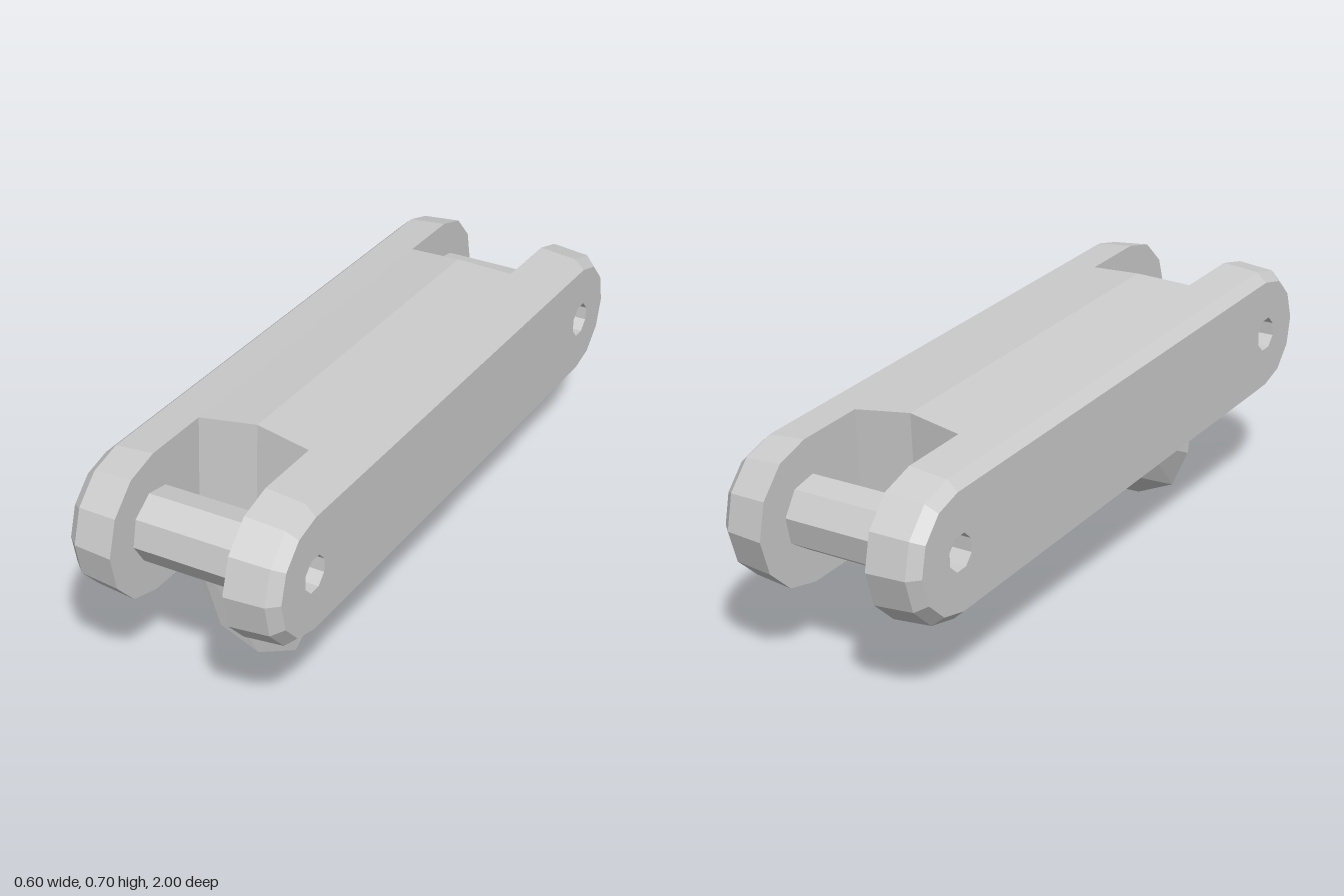
import * as THREE from 'three';
import { ConvexGeometry } from 'three/addons/geometries/ConvexGeometry.js';

const AXLE = 0.8;      // distance of each pin from the middle
const HOLE = 0.05;     // bore radius
const INNER = 0.16;    // inner face of the side plates
const OUTER = 0.3;     // outer face of the side plates

const material = new THREE.MeshStandardMaterial({ color: 0xcccccc, flatShading: true });
const boreMaterial = new THREE.MeshStandardMaterial({ color: 0xcccccc, flatShading: true, side: THREE.BackSide });

function mesh(name, geometry, mat = material) {
  const m = new THREE.Mesh(geometry, mat);
  m.name = name;
  return m;
}

// Counter-clockwise outline with a faceted half circle at each end
function outline(r) {
  const points = [];
  for (const end of [1, -1]) {
    for (let i = 0; i <= 6; i++) {
      const a = -Math.PI / 2 + (i * Math.PI) / 6;
      points.push(new THREE.Vector2(end * (AXLE + r * Math.cos(a)), end * r * Math.sin(a)));
    }
  }
  return points;
}

// Flat plate face with both bores cut out
function plateFace(r) {
  const shape = new THREE.Shape(outline(r));
  for (const end of [1, -1]) {
    const hole = [];
    for (let i = 0; i < 8; i++) {
      const a = (i * Math.PI) / 4 + Math.PI / 8;
      hole.push(new THREE.Vector2(end * AXLE + HOLE * Math.cos(a), HOLE * Math.sin(a)));
    }
    shape.holes.push(new THREE.Path(hole));
  }
  return new THREE.ShapeGeometry(shape);
}

// Rim lofted through sections of [depth, radius]
function plateRim(sections) {
  const rings = sections.map(([w, r]) => outline(r).map((p) => [p.x, p.y, w]));
  const n = rings[0].length;
  const pos = [];
  for (let s = 0; s < rings.length - 1; s++) {
    for (let i = 0; i < n; i++) {
      const j = (i + 1) % n;
      const a = rings[s][i], b = rings[s][j], c = rings[s + 1][j], d = rings[s + 1][i];
      pos.push(...a, ...b, ...c, ...a, ...c, ...d);
    }
  }
  const g = new THREE.BufferGeometry();
  g.setAttribute('position', new THREE.Float32BufferAttribute(pos, 3));
  g.computeVertexNormals();
  return g;
}

// Side plate with a chamfered outer edge, facing +z before it is turned
function sidePlate(name) {
  const plate = new THREE.Group();
  plate.name = name;
  plate.add(mesh('plateRim', plateRim([[INNER, 0.2], [0.27, 0.19], [OUTER, 0.162]])));
  plate.add(mesh('plateOuterFace', plateFace(0.162).translate(0, 0, OUTER)));
  plate.add(mesh('plateInnerFace', plateFace(0.2).rotateY(Math.PI).translate(0, 0, INNER)));
  return plate;
}

// Open eight-sided tube lying across the link
function crossTube(radius, length, turn) {
  return new THREE.CylinderGeometry(radius, radius, length, 8, 1, true)
    .rotateZ(Math.PI / 2)
    .rotateX(turn);
}

export function createModel() {
  const model = new THREE.Group();
  model.name = 'chainLink';

  // Tilted link: two plates, a ridged body and two hollow pins
  const link = new THREE.Group();
  link.name = 'link';
  link.position.y = 0.453;
  link.rotation.x = -0.058;
  model.add(link);

  for (const side of [1, -1]) {
    const plate = sidePlate(side > 0 ? 'leftPlate' : 'rightPlate');
    plate.rotation.y = (side * Math.PI) / 2;
    link.add(plate);
  }

  // Middle body, raised along the centre line and dished at the ends
  const bodyGeometry = new THREE.BoxGeometry(2 * INNER, 0.4, 1.18, 2, 1, 1);
  const p = bodyGeometry.attributes.position;
  for (let i = 0; i < p.count; i++) {
    if (Math.abs(p.getX(i)) < 0.01) p.setXYZ(i, 0, p.getY(i) * 1.075, p.getZ(i) * 0.965);
  }
  bodyGeometry.computeVertexNormals();
  link.add(mesh('body', bodyGeometry));

  for (const end of [1, -1]) {
    const label = end > 0 ? 'front' : 'back';
    const pin = mesh(label + 'Pin', crossTube(0.099, 2 * INNER, THREE.MathUtils.degToRad(13)));
    const bore = mesh(label + 'Bore', crossTube(HOLE, 2 * OUTER, Math.PI / 8), boreMaterial);
    pin.position.z = bore.position.z = end * AXLE;
    link.add(pin, bore);
  }

  // Tooth hanging under the front, tapering back into the body
  const tooth = [
    new THREE.Vector3(0, 0, 0.585),
    new THREE.Vector3(0, 0.108, 0.36),
    new THREE.Vector3(0, 0.25, 0.1),
  ];
  const half = [
    [0.158, 0.29, 0.612], [0.163, 0.27, 0.61], [0.162, 0.16, 0.592], [0.115, 0.05, 0.585],
    [0.15, 0.265, 0.36], [0.085, 0.15, 0.37], [0.07, 0.26, 0.13],
  ];
  for (const [x, y, z] of half) {
    tooth.push(new THREE.Vector3(x, y, z), new THREE.Vector3(-x, y, z));
  }
  model.add(mesh('tooth', new ConvexGeometry(tooth)));

  return model;
}
